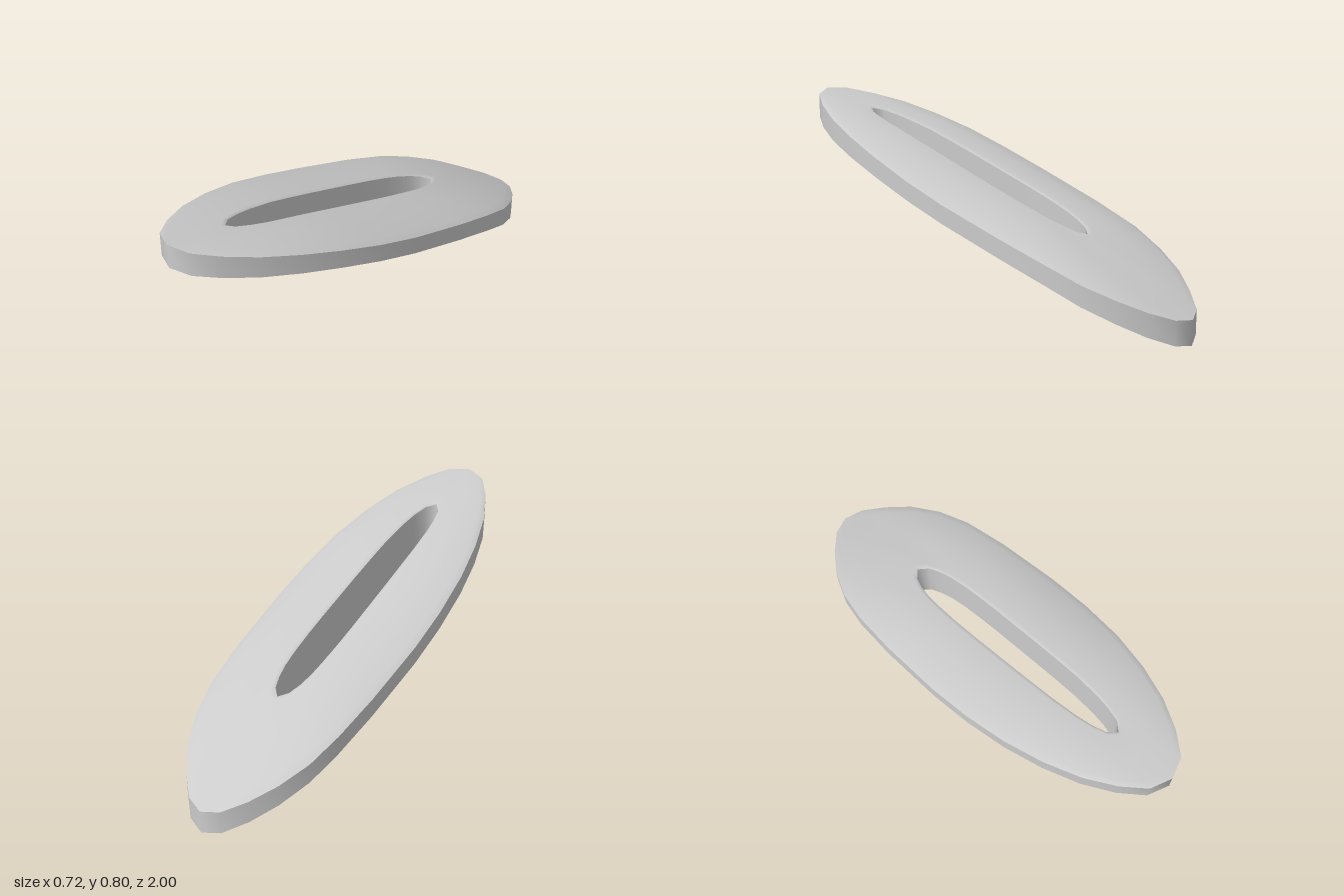
import * as THREE from 'three';

// Half outlines in plan, [x, z], from the back tip to the front tip
const OUTER = [[0, -1], [0.08, -0.97], [0.16, -0.89], [0.235, -0.79], [0.295, -0.66],
  [0.33, -0.51], [0.35, -0.3], [0.359, 0], [0.352, 0.2], [0.33, 0.4], [0.29, 0.58],
  [0.235, 0.74], [0.165, 0.87], [0.09, 0.965], [0, 1]];
const SLOT = [[0, -0.485], [0.035, -0.45], [0.053, -0.4], [0.065, -0.34], [0.071, -0.27],
  [0.075, -0.17], [0.076, -0.06], [0.075, 0.06], [0.074, 0.18], [0.072, 0.3], [0.069, 0.42],
  [0.06, 0.54], [0.05, 0.61], [0.033, 0.675], [0, 0.715]];

// Sloping base line along the length, [z, y]
const BASE = [[-1, 0], [-0.89, 0.057], [-0.79, 0.112], [-0.66, 0.172], [-0.51, 0.238],
  [-0.3, 0.31], [0, 0.405], [0.2, 0.47], [0.4, 0.535], [0.58, 0.585], [0.74, 0.625], [1, 0.685]];

function baseY(z) {
  let i = 0;
  while (i < BASE.length - 2 && z > BASE[i + 1][0]) i++;
  const [z0, y0] = BASE[i], [z1, y1] = BASE[i + 1];
  return y0 + (y1 - y0) * (z - z0) / (z1 - z0);
}

// Mirror a half outline into a closed loop
const mirrored = half => [...half, ...half.slice(1, -1).reverse().map(([x, z]) => [-x, z])];

// A loop at fraction t from slot to outer edge, raised above the base line
function makeLoop(t, height) {
  const a = mirrored(SLOT), b = mirrored(OUTER);
  return a.map(([x, z], i) => {
    const px = x + (b[i][0] - x) * t, pz = z + (b[i][1] - z) * t;
    return [px, baseY(pz) + height(px, pz), pz];
  });
}

// Smooth skin through successive closed loops
function skin(loops) {
  const n = loops[0].length, index = [];
  for (let j = 0; j < loops.length - 1; j++) {
    for (let i = 0; i < n; i++) {
      const a = j * n + i, b = j * n + (i + 1) % n;
      index.push(a, b, a + n, b, b + n, a + n);
    }
  }
  const g = new THREE.BufferGeometry();
  g.setAttribute('position', new THREE.Float32BufferAttribute(loops.flat(2), 3));
  g.setIndex(index);
  g.computeVertexNormals();
  return g;
}

export function createModel() {
  const group = new THREE.Group();
  group.name = 'slottedOvalCover';
  const material = new THREE.MeshStandardMaterial({ color: 0xcccccc, side: THREE.DoubleSide });
  const add = (name, loops) => {
    const mesh = new THREE.Mesh(skin(loops), material);
    mesh.name = name;
    group.add(mesh);
  };

  // The top is gently crowned and its rim drops along the sides
  const crown = (x, z) => 0.118 + 0.016 * (1 - z * z);
  const rim = x => 0.11 - 0.028 * (x / 0.36) ** 2;
  const slotRim = makeLoop(0, (x, z) => crown(x, z) - 0.008);
  const outerRim = makeLoop(1, rim);

  add('topPlate', [
    slotRim,
    makeLoop(0.06, crown),
    makeLoop(0.5, (x, z) => crown(x, z) - 0.004),
    makeLoop(0.9, x => rim(x) + 0.012 * Math.min(1, Math.abs(x) / 0.2)),
    outerRim,
  ]);
  add('outerSkirt', [outerRim, makeLoop(1, () => 0)]);
  add('slotWall', [makeLoop(0, () => -0.122), slotRim]);
  return group;
}
